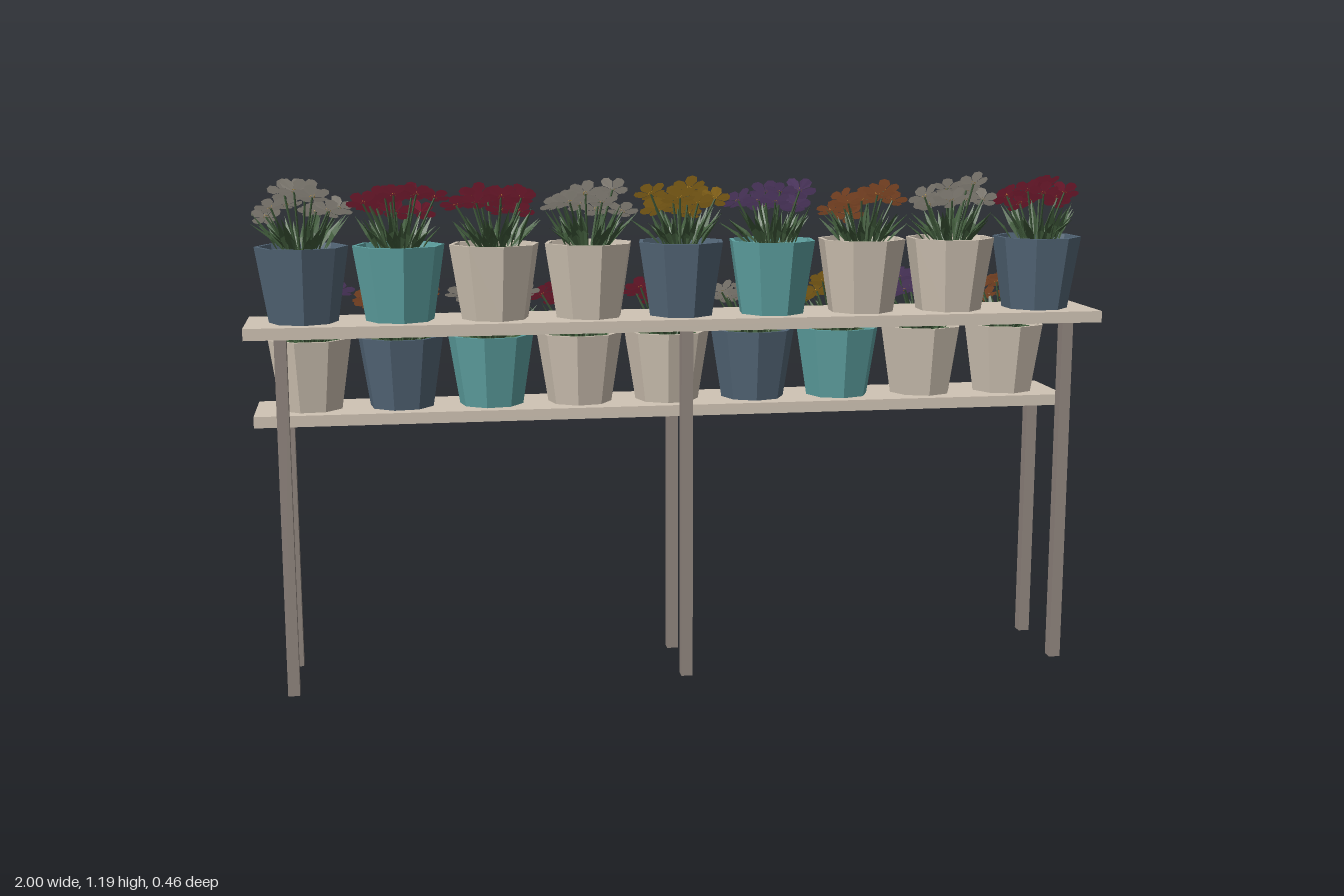
import * as THREE from 'three';
import { mergeGeometries } from 'three/addons/utils/BufferGeometryUtils.js';

const mat = (name, color, side = THREE.FrontSide) => {
  const m = new THREE.MeshStandardMaterial({ color, side });
  m.name = name;
  return m;
};

// Small seeded generator, so every plant grows a little differently
function seeded(seed) {
  let s = seed * 7919 + 17;
  return (a = 0, b = 1) => {
    s = (s * 16807) % 2147483647;
    return a + (b - a) * (s / 2147483647);
  };
}

// Faceted copy holding only positions and flat normals, ready to merge
function faceted(geo) {
  const g = geo.index ? geo.toNonIndexed() : geo.clone();
  g.deleteAttribute('uv');
  g.computeVertexNormals();
  return g;
}

function fromTriangles(points, faces) {
  const g = new THREE.BufferGeometry();
  g.setAttribute('position', new THREE.Float32BufferAttribute(points.flat(), 3));
  g.setIndex(faces.flat());
  return faceted(g);
}

// Blade of unit length along +y, folded at its midrib
const leafGeo = fromTriangles(
  [[0, 0, 0], [-0.1, 0.45, 0.02], [0, 0.5, -0.03], [0.1, 0.45, 0.02], [0, 1, 0.1]],
  [[0, 2, 1], [0, 3, 2], [1, 2, 4], [2, 3, 4]]);

// Five broad petals in a shallow cup facing +y, unit radius
function makeBloom() {
  const petal = fromTriangles(
    [[0, 0, 0], [-0.37, 0.12, 0.55], [-0.3, 0.2, 0.88], [0, 0.22, 1], [0.3, 0.2, 0.88], [0.37, 0.12, 0.55]],
    [[0, 1, 2], [0, 2, 3], [0, 3, 4], [0, 4, 5]]);
  const petals = [];
  for (let i = 0; i < 5; i++) petals.push(petal.clone().rotateY(i * Math.PI * 2 / 5));
  return mergeGeometries(petals);
}
const bloomGeo = makeBloom();
const eyeGeo = faceted(new THREE.CylinderGeometry(0.13, 0.17, 0.12, 5).translate(0, 0.09, 0));

// Eight-sided tapered pot, open at the top
const potGeo = faceted(new THREE.LatheGeometry(
  [[0, 0], [0.078, 0], [0.105, 0.172], [0.096, 0.172], [0.092, 0.148]].map(p => new THREE.Vector2(...p)), 8));
const fillGeo = faceted(new THREE.CylinderGeometry(0.093, 0.09, 0.01, 8).translate(0, 0.153, 0));

function stemBetween(a, b) {
  const dir = b.clone().sub(a);
  const g = faceted(new THREE.CylinderGeometry(0.0022, 0.0028, dir.length(), 4, 1, true));
  const turn = new THREE.Quaternion().setFromUnitVectors(new THREE.Vector3(0, 1, 0), dir.normalize());
  const mid = a.clone().add(b).multiplyScalar(0.5);
  return g.applyQuaternion(turn).translate(mid.x, mid.y, mid.z);
}

function makePlant(seed, potMat, petalMat, leafMat, eyeMat) {
  const rnd = seeded(seed);
  const plant = new THREE.Group();
  const add = (name, geo, material) => {
    const m = new THREE.Mesh(geo, material);
    m.name = name;
    plant.add(m);
    return m;
  };
  const spin = rnd(0, Math.PI / 4);
  add('pot', potGeo, potMat).rotation.y = spin;
  add('greenFill', fillGeo, leafMat).rotation.y = spin;

  // Leaves fan outward from the pot
  const greens = [];
  const leafCount = 30;
  for (let i = 0; i < leafCount; i++) {
    const size = rnd(0.075, 0.115);
    const reach = rnd(0.02, 0.055);
    greens.push(leafGeo.clone().scale(size, size, size)
      .rotateX(rnd(0.2, 0.85))
      .translate(0, 0.153, reach)
      .rotateY(i * 2.4 + rnd(-0.3, 0.3)));
  }

  // Blooms on a spiral, all tilted up and towards the back
  const blooms = [], eyes = [];
  const bloomCount = 11, startAngle = rnd(0, 6.28);
  for (let i = 0; i < bloomCount; i++) {
    const r = 0.085 * Math.sqrt((i + 0.5) / bloomCount);
    const a = startAngle + i * 2.4;
    const head = new THREE.Vector3(
      r * Math.cos(a) * 1.08,
      0.285 + rnd(-0.025, 0.02) - r * 0.25 + Math.sin(a) * r * 0.25,
      r * Math.sin(a) - 0.003);
    const size = rnd(0.034, 0.04), twist = rnd(0, 6.28);
    const tiltX = rnd(-0.8, -0.5), tiltZ = -head.x * 3 + rnd(-0.15, 0.15);
    const place = g => g.clone().scale(size, size, size).rotateY(twist)
      .rotateZ(tiltZ).rotateX(tiltX).translate(head.x, head.y, head.z);
    blooms.push(place(bloomGeo));
    eyes.push(place(eyeGeo));
    greens.push(stemBetween(new THREE.Vector3(head.x * 0.3, 0.155, head.z * 0.3), head));
  }
  add('stemsAndLeaves', mergeGeometries(greens), leafMat);
  add('petals', mergeGeometries(blooms), petalMat);
  add('flowerCentres', mergeGeometries(eyes), eyeMat);
  return plant;
}

export function createModel() {
  const pale = mat('paleWood', 0xd0c4b4);
  const post = mat('legBrown', 0x91867f);
  const leaf = mat('leafGreen', 0x415c3c, THREE.DoubleSide);
  const pots = { b: pale, s: mat('slateBlue', 0x546778), t: mat('teal', 0x5fa3a3) };
  const petals = {
    w: mat('cream', 0xe4dccd, THREE.DoubleSide),
    r: mat('crimson', 0xb8304f, THREE.DoubleSide),
    y: mat('golden', 0xdba52f, THREE.DoubleSide),
    p: mat('purple', 0x8c66aa, THREE.DoubleSide),
    o: mat('orange', 0xdf8048, THREE.DoubleSide),
  };

  const model = new THREE.Group();
  model.name = 'flowerStand';
  const box = (name, w, h, d, x, y, z, material, parent) => {
    const m = new THREE.Mesh(new THREE.BoxGeometry(w, h, d), material);
    m.name = name;
    m.position.set(x, y, z);
    parent.add(m);
  };

  // Two tiers, each a shelf on three legs with nine pots, listed from -x to +x
  const tiers = [
    { name: 'upperTier', top: 0.858, z: 0.108, legZ: 0.19, pots: 'stbbstbbs', flowers: 'wrrwypowr' },
    { name: 'lowerTier', top: 0.62, z: -0.108, legZ: -0.027, pots: 'bstbbstbb', flowers: 'powrrwypo' },
  ];
  tiers.forEach((t, row) => {
    const tier = new THREE.Group();
    tier.name = t.name;
    const thick = 0.027, legHeight = t.top - thick;
    box('shelf', 2, thick, 0.215, 0, t.top - thick / 2, t.z, pale, tier);
    for (const x of [-0.92, 0, 0.92]) box('leg', 0.027, legHeight, 0.029, x, legHeight / 2, t.legZ, post, tier);
    for (let i = 0; i < 9; i++) {
      const plant = makePlant(1 + row * 9 + i, pots[t.pots[i]], petals[t.flowers[i]], leaf, petals.y);
      plant.name = 'pottedFlowers';
      plant.position.set((i - 4) * 0.2175, t.top, t.z);
      tier.add(plant);
    }
    model.add(tier);
  });
  return model;
}
